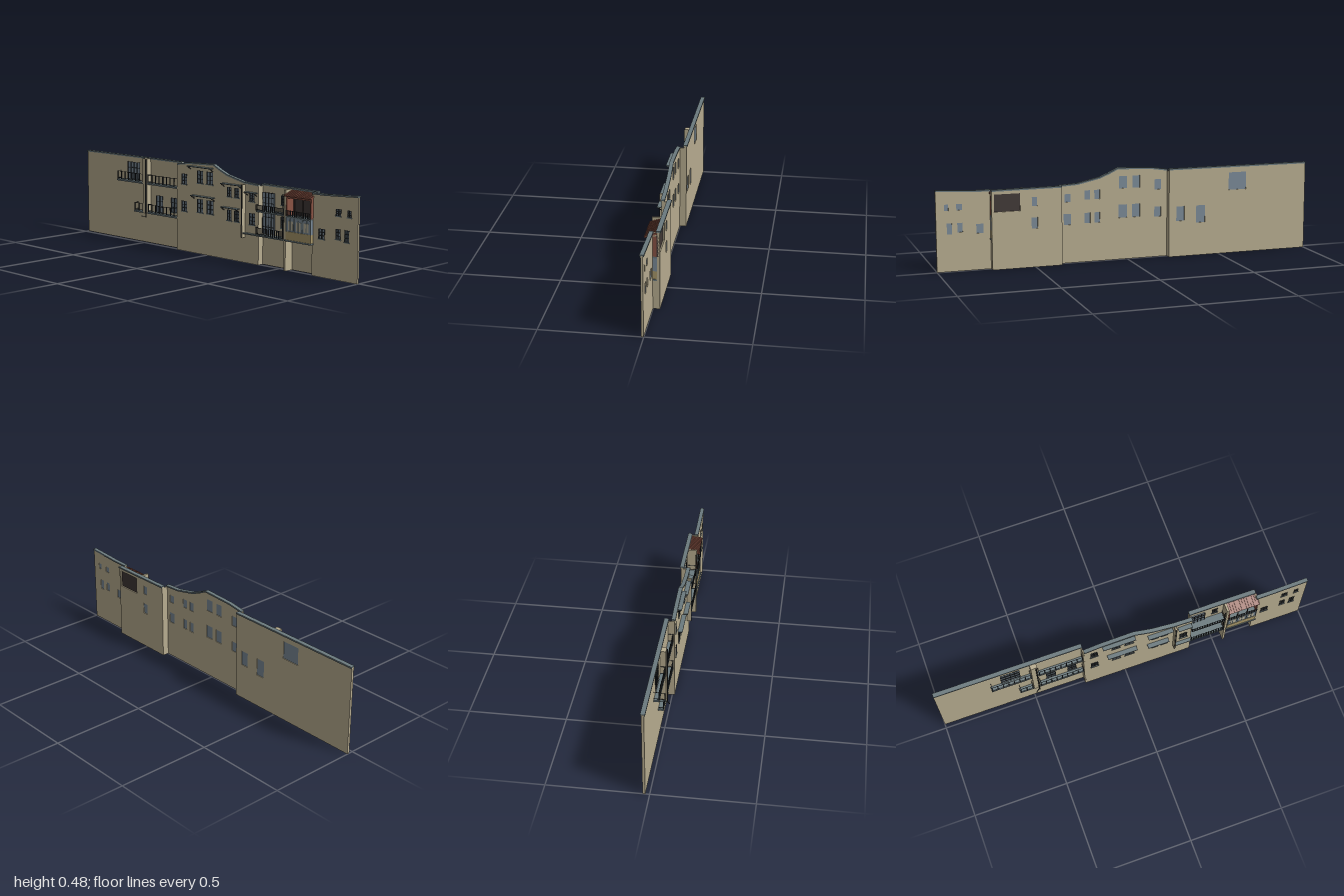
import * as THREE from 'three';

const mat = (name, color) => {
  const m = new THREE.MeshStandardMaterial({ color });
  m.name = name;
  return m;
};

export function createModel() {
  const root = new THREE.Group();
  root.name = 'streetFacade';
  const plaster = mat('plaster', 0xb9ae91);
  const slate = mat('slate', 0x6b7a7e);
  const glass = mat('glass', 0x7b8b98);
  const iron = mat('iron', 0x25292c);
  const red = mat('redTile', 0x8a5344);
  const shade = mat('darkInterior', 0x403835);
  const ochre = mat('ochre', 0xa8986a);
  const cream = mat('cream', 0xb5af98);

  // Box given by its two corners
  function box(name, m, x0, x1, y0, y1, z0, z1, parent = root) {
    const mesh = new THREE.Mesh(new THREE.BoxGeometry(x1 - x0, y1 - y0, z1 - z0), m);
    mesh.position.set((x0 + x1) / 2, (y0 + y1) / 2, (z0 + z1) / 2);
    mesh.name = name;
    parent.add(mesh);
    return mesh;
  }
  // Thin square rod between two points
  function rod(name, m, a, b, t, parent = root) {
    const p = new THREE.Vector3(...a), q = new THREE.Vector3(...b);
    const mesh = new THREE.Mesh(new THREE.BoxGeometry(t, t, p.distanceTo(q)), m);
    mesh.position.copy(p).add(q).multiplyScalar(0.5);
    mesh.lookAt(q);
    mesh.name = name;
    parent.add(mesh);
  }
  function extrude(name, m, shape, z0, z1, parent) {
    const mesh = new THREE.Mesh(new THREE.ExtrudeGeometry(shape, { depth: z1 - z0, bevelEnabled: false }), m);
    mesh.position.z = z0;
    mesh.name = name;
    parent.add(mesh);
  }
  const shapeOf = pts => new THREE.Shape(pts.map(p => new THREE.Vector2(...p)));

  // Pane set in the wall, with dark frame, glazing bars and a sill
  function windowUnit(x0, x1, y0, y1, z0, z1, cols, rows, parent) {
    const g = new THREE.Group();
    g.name = 'window';
    parent.add(g);
    box('pane', glass, x0, x1, y0, y1, z0 + 0.003, z1 - 0.004, g);
    const t = 0.0025;
    for (let i = 0; i <= cols; i++) {
      const x = x0 + (x1 - x0) * i / cols;
      box('uprightBar', iron, x - t / 2, x + t / 2, y0, y1, z1 - 0.004, z1 + 0.001, g);
    }
    for (let j = 0; j <= rows; j++) {
      const y = y0 + (y1 - y0) * j / rows;
      box('crossBar', iron, x0, x1, y - t / 2, y + t / 2, z1 - 0.004, z1 + 0.001, g);
    }
    box('sill', slate, x0 - 0.004, x1 + 0.004, y0 - 0.004, y0, z1 - 0.002, z1 + 0.004, g);
  }

  // Wall with window openings and a coping that follows its top line
  function wall(name, top, z0, z1, windows, openings = []) {
    const g = new THREE.Group();
    g.name = name;
    root.add(g);
    const first = top[0], last = top[top.length - 1];
    const s = shapeOf([[first[0], 0], [last[0], 0], ...top.slice().reverse()]);
    for (const [x0, x1, y0, y1] of [...windows, ...openings])
      s.holes.push(new THREE.Path([[x0, y0], [x0, y1], [x1, y1], [x1, y0]].map(p => new THREE.Vector2(...p))));
    extrude('wallBody', plaster, s, z0, z1, g);
    const lower = top.map(([x, y]) => [x, y - 0.004]);
    const upper = top.map(([x, y]) => [x, y + 0.004]).reverse();
    extrude('coping', slate, shapeOf([...lower, ...upper]), z0 - 0.005, z1 + 0.005, g);
    for (const [x0, x1, y0, y1, c = 2, r = 3] of windows) windowUnit(x0, x1, y0, y1, z0, z1, c, r, g);
  }

  const B0 = -0.034, B1 = -0.021, F0 = 0.001, F1 = 0.012;
  wall('leftLongWall', [[-1, 0.465], [-0.22, 0.465]], B0, B1, [
    [-0.655, -0.555, 0.34, 0.433, 4, 3], [-0.422, -0.372, 0.175, 0.267], [-0.305, -0.26, 0.19, 0.267]]);
  wall('middleWall',
    [[-0.22, 0.459], [-0.13, 0.472], [0.05, 0.479], [0.10, 0.455], [0.15, 0.435], [0.27, 0.409], [0.365, 0.404]], F0, F1, [
      [-0.187, -0.15, 0.358, 0.412], [-0.187, -0.15, 0.214, 0.267],
      [-0.07, -0.03, 0.374, 0.438], [0, 0.043, 0.374, 0.438],
      [-0.07, -0.028, 0.22, 0.289], [0, 0.047, 0.22, 0.289],
      [0.148, 0.178, 0.326, 0.374], [0.2, 0.23, 0.326, 0.374],
      [0.148, 0.178, 0.203, 0.257], [0.2, 0.23, 0.203, 0.257],
      [0.305, 0.338, 0.318, 0.36], [0.303, 0.342, 0.2, 0.257]]);
  wall('recessedWall', [[0.36, 0.406], [0.725, 0.404]], B0, B1, [
    [0.49, 0.518, 0.315, 0.362], [0.488, 0.52, 0.2, 0.257]], [[0.578, 0.712, 0.295, 0.385]]);
  wall('rightEndWall', [[0.72, 0.402], [0.8, 0.402], [1, 0.413]], F0, F1, [
    [0.76, 0.797, 0.187, 0.235], [0.866, 0.896, 0.31, 0.342], [0.936, 0.957, 0.31, 0.342],
    [0.866, 0.893, 0.198, 0.246], [0.92, 0.946, 0.19, 0.246]]);

  // Returns joining the wall planes, and the projecting party fin
  for (const [x, h] of [[-0.226, 0.455], [0.36, 0.4], [0.718, 0.398]])
    box('wallReturn', plaster, x, x + 0.006, 0, h, B0 + 0.0005, F1 - 0.0005);
  box('partyFin', plaster, 0.55, 0.562, 0, 0.403, B1, 0.028);

  // Iron railing along the front of a slab, returning to the wall at both ends
  function railing(x0, x1, y0, y1, zFront, zBack, step) {
    const g = new THREE.Group();
    g.name = 'railing';
    root.add(g);
    const n = Math.max(1, Math.round((x1 - x0) / step));
    for (let i = 0; i <= n; i++) {
      const x = x0 + (x1 - x0) * i / n;
      box('railPost', iron, x - 0.002, x + 0.002, y0, y1, zFront - 0.004, zFront, g);
    }
    for (const y of [y0 + 0.006, y1 - 0.002]) {
      box('rail', iron, x0, x1, y - 0.001, y + 0.001, zFront - 0.003, zFront - 0.001, g);
      for (const x of [x0, x1]) box('sideRail', iron, x - 0.001, x + 0.001, y - 0.001, y + 0.001, zBack, zFront - 0.001, g);
    }
  }
  function slab(x0, x1, y, z0, z1) {
    box('balconySlab', slate, x0, x1, y, y + 0.009, z0, z1);
  }

  // Left balconies, with a pier and drainpipe between them
  slab(-0.715, -0.222, 0.325, B1, 0.006);
  slab(-0.575, -0.222, 0.165, B1, 0.006);
  railing(-0.71, -0.505, 0.334, 0.38, 0.006, B1, 0.029);
  railing(-0.46, -0.228, 0.334, 0.38, 0.006, B1, 0.029);
  railing(-0.57, -0.505, 0.174, 0.218, 0.006, B1, 0.029);
  railing(-0.46, -0.228, 0.174, 0.218, 0.006, B1, 0.029);
  box('balconyPier', plaster, -0.5, -0.466, 0.165, 0.465, B1, 0.008);
  box('drainpipe', iron, -0.476, -0.47, 0.145, 0.462, 0.008, 0.013);
  rod('pipeBracket', iron, [-0.475, 0.15, 0.008], [-0.495, 0.15, 0.025], 0.004);

  // Canopies over the windows, on diagonal struts
  for (const [x0, x1, y] of [[-0.125, 0.05, 0.457], [-0.1, 0.06, 0.305], [0.12, 0.255, 0.39], [0.285, 0.36, 0.362], [0.12, 0.235, 0.268]]) {
    box('canopy', slate, x0, x1, y, y + 0.004, F1, 0.036);
    for (const x of [x0 + 0.006, x1 - 0.006])
      rod('canopyStrut', iron, [x, y - 0.014, F1], [x, y, 0.034], 0.003);
  }

  // Drainpipe and balconies beside the party fin
  box('cornerPipe', plaster, 0.265, 0.275, 0.13, 0.4, F1, 0.034);
  box('cornerPipeEdge', iron, 0.268, 0.272, 0.13, 0.4, 0.034, 0.036);
  box('lowBalconySlab', slate, 0.275, 0.362, 0.15, 0.156, F1, 0.03);
  box('lowBalconySlab', slate, 0.362, 0.55, 0.15, 0.156, B1, 0.03);
  box('upperBalconySlab', slate, 0.364, 0.548, 0.272, 0.279, B1, 0.028);
  railing(0.364, 0.546, 0.279, 0.31, 0.03, B1, 0.014);
  railing(0.364, 0.546, 0.156, 0.195, 0.03, B1, 0.014);
  box('balconyPost', iron, 0.54, 0.544, 0.156, 0.38, 0.024, 0.028);
  // Glazed balcony doors
  for (const [y0, y1] of [[0.16, 0.27], [0.28, 0.368]]) {
    box('balconyDoor', glass, 0.37, 0.447, y0, y1, B1, -0.016);
    for (let i = 0; i <= 4; i++) {
      const x = 0.37 + i * 0.01925;
      box('doorBar', iron, x - 0.0013, x + 0.0013, y0, y1, -0.016, -0.013);
    }
    for (const y of [y0 + 0.035, y1 - 0.025, y1])
      box('doorRail', iron, 0.37, 0.447, y - 0.0013, y + 0.0013, -0.016, -0.013);
  }

  // Enclosed bay: ochre base, glazed band, then an open red loggia
  const L = 0.564, R = 0.725;
  box('bayFloor', slate, L - 0.004, R + 0.003, 0.151, 0.158, B1, 0.035);
  box('bayBase', ochre, L, R, 0.158, 0.2, B1, 0.03);
  box('bayGlazing', glass, L, R, 0.2, 0.268, B1, 0.028);
  for (let i = 0; i < 3; i++) {
    const x = L + 0.016 + i * 0.05;
    box('bayPanel', cream, x, x + 0.03, 0.208, 0.252, 0.028, 0.0295);
  }
  for (let i = 0; i <= 6; i++) {
    const x = L + 0.002 + i * (R - L - 0.004) / 6;
    box('bayMullion', slate, x - 0.002, x + 0.002, 0.2, 0.268, 0.028, 0.031);
  }
  box('loggiaFloor', slate, L, R, 0.268, 0.276, B1, 0.033);
  railing(L + 0.003, R - 0.003, 0.276, 0.305, 0.034, 0.01, 0.014);
  box('loggiaBack', shade, L, R, 0.276, 0.388, -0.028, -0.018);
  for (const x of [L, R - 0.007]) box('loggiaSide', red, x, x + 0.007, 0.276, 0.38, B1, 0.028);
  box('loggiaLintel', red, L, R, 0.364, 0.376, 0.02, 0.028);
  for (let i = 1; i < 3; i++) {
    const x = L + i * (R - L) / 3;
    box('loggiaPost', shade, x - 0.002, x + 0.002, 0.276, 0.37, 0.022, 0.026);
  }
  // Sloping tiled roof with ribs
  const roof = new THREE.Group();
  roof.name = 'tiledRoof';
  roof.position.set((L + R) / 2, 0.385, 0.009);
  roof.rotation.x = 0.33;
  root.add(roof);
  const half = (R - L) / 2 + 0.004;
  box('roofSheet', red, -half, half, -0.003, 0.003, -0.031, 0.031, roof);
  for (let i = 0; i <= 12; i++) {
    const x = -half + 0.003 + i * (2 * half - 0.006) / 12;
    box('tileRib', red, x - 0.002, x + 0.002, 0.003, 0.006, -0.031, 0.031, roof);
  }
  return root;
}
